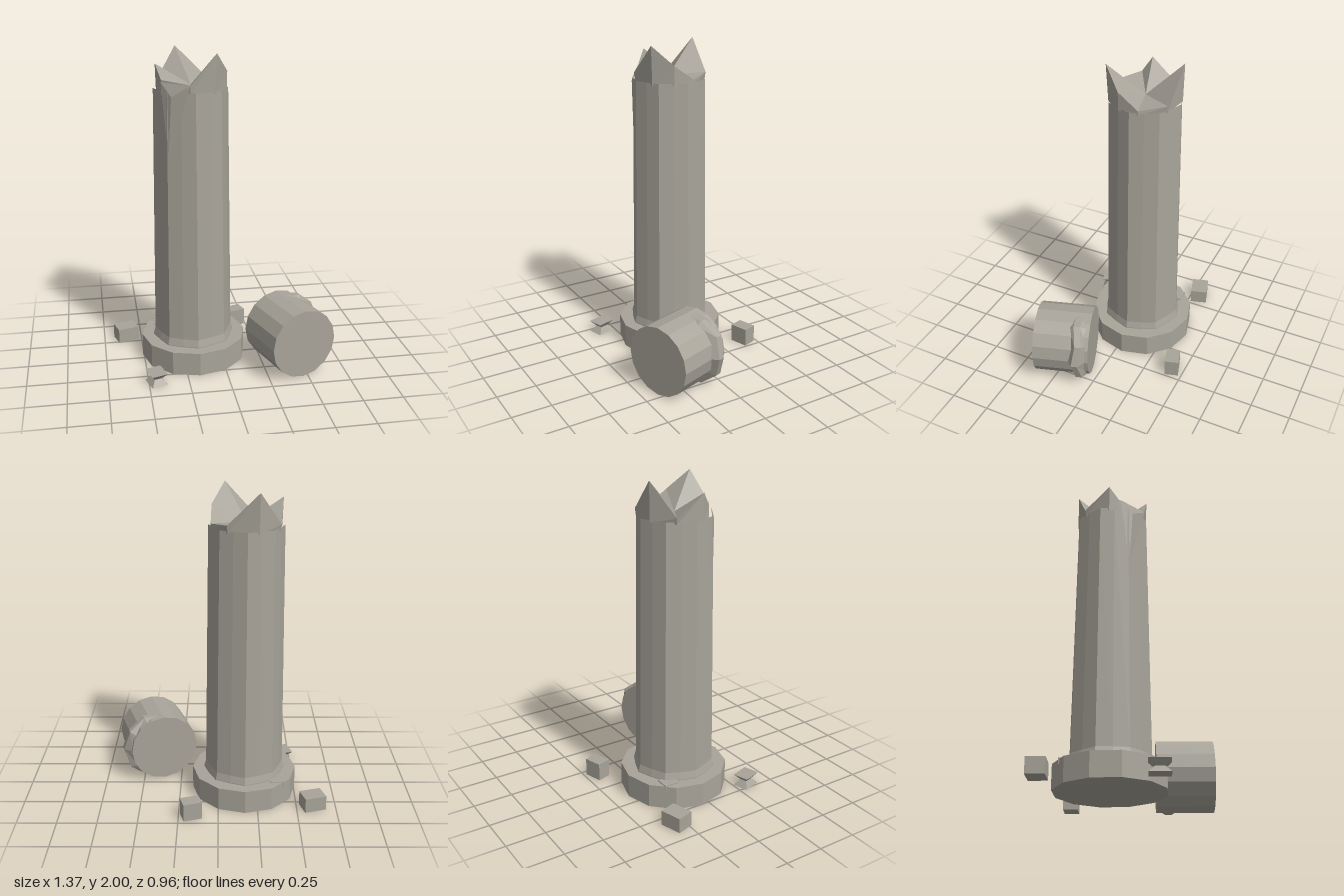
import * as THREE from 'three';

const stone = new THREE.MeshStandardMaterial({ color: 0xa8a49a, flatShading: true });
stone.name = 'weathered stone';

function part(name, geometry, x = 0, y = 0, z = 0, turn = 0) {
  const mesh = new THREE.Mesh(geometry, stone);
  mesh.name = name;
  mesh.position.set(x, y, z);
  mesh.rotation.y = turn;
  return mesh;
}

// triangles: list of corner triples, each corner [x, y, z]
function facets(triangles) {
  const g = new THREE.BufferGeometry();
  g.setAttribute('position', new THREE.Float32BufferAttribute(triangles.flat(2), 3));
  g.computeVertexNormals();
  return g;
}

// Tapered shaft: eight sharp edges with gently bulged faces between them
function shaftGeometry() {
  const profile = [[0.262, 0.14], [0.262, 0.155], [0.25, 0.2], [0.23, 1.775]].map(p => new THREE.Vector2(...p));
  const g = new THREE.LatheGeometry(profile, 16);
  const pos = g.attributes.position;
  for (let i = 0; i < pos.count; i++) {
    const k = Math.floor(i / profile.length) % 2 ? 0.945 : 1;
    pos.setX(i, pos.getX(i) * k);
    pos.setZ(i, pos.getZ(i) * k);
  }
  g.computeVertexNormals();
  return g;
}

// Jagged broken top: a fan inside and a wall outside a rim of peaks and dips
function crownGeometry() {
  const rim = [
    [-0.07, 2.0, -0.215], [0.12, 1.81, -0.195], [0.215, 1.79, -0.05], [0.21, 1.88, 0.08],
    [0.13, 2.0, 0.195], [-0.03, 1.82, 0.227], [-0.19, 1.84, 0.11], [-0.22, 1.93, 0.055], [-0.2, 1.8, -0.115],
  ];
  const centre = [0, 1.79, 0];
  const low = ([x, , z]) => {
    const k = 0.222 / Math.hypot(x, z);
    return [x * k, 1.76, z * k];
  };
  const tris = [];
  rim.forEach((a, i) => {
    const b = rim[(i + 1) % rim.length];
    tris.push([centre, b, a], [low(b), low(a), a], [low(b), a, b]);
  });
  return facets(tris);
}

// Splintered lip wrapping one side of the fallen drum
function lipGeometry() {
  const n = 6, rows = [];
  for (let i = 0; i <= n; i++) {
    const t = (i / n) * Math.PI, s = Math.sin(t);
    const jag = i % 2 ? 0.012 : -0.008;
    const section = [[0.215, -0.165], [0.22 + 0.045 * s, -0.13 + jag], [0.22 + 0.045 * s, -0.09 + jag], [0.215, -0.06 + jag]];
    rows.push(section.map(([r, z]) => [r * s, r * Math.cos(t), z]));
  }
  const tris = [];
  for (let i = 0; i < n; i++) {
    for (let j = 0; j < 3; j++) {
      const a = rows[i][j], b = rows[i][j + 1], c = rows[i + 1][j], d = rows[i + 1][j + 1];
      tris.push([a, b, c], [b, d, c]);
    }
  }
  return facets(tris);
}

// Waisted rubble lump
function pinchedBlock(w, h, d) {
  const g = new THREE.BoxGeometry(w, h, d, 1, 2, 1);
  const pos = g.attributes.position;
  for (let i = 0; i < pos.count; i++) {
    if (Math.abs(pos.getY(i)) < 0.001) {
      pos.setX(i, pos.getX(i) * 0.45);
      pos.setZ(i, pos.getZ(i) * 0.45);
    }
  }
  g.computeVertexNormals();
  return g;
}

export function createModel() {
  const model = new THREE.Group();
  model.name = 'brokenColumn';

  // Standing column
  const column = new THREE.Group();
  column.name = 'column';
  column.position.set(-0.17, 0, -0.045);
  column.add(part('base', new THREE.CylinderGeometry(0.337, 0.337, 0.15, 12), 0, 0.075, 0));
  column.add(part('shaft', shaftGeometry()));
  column.add(part('brokenTop', crownGeometry()));
  // Long splinter running down the front of the shaft
  const tip = [-0.16, 1.38, 0.168], left = [-0.195, 1.83, 0.125], right = [-0.03, 1.82, 0.228], mid = [-0.14, 1.75, 0.185];
  column.add(part('splinter', facets([[tip, mid, left], [tip, right, mid], [left, mid, right]])));
  model.add(column);

  // Fallen drum lying on its side
  const drum = new THREE.Group();
  drum.name = 'fallenDrum';
  drum.position.set(0.414, 0.225, 0.2375);
  drum.rotation.y = 0.312;
  drum.add(part('drumBody', new THREE.CylinderGeometry(0.223, 0.223, 0.357, 16).rotateX(Math.PI / 2)));
  drum.add(part('brokenLip', lipGeometry()));
  model.add(drum);

  // Rubble around the base
  model.add(part('rubbleBack', new THREE.BoxGeometry(0.12, 0.115, 0.09), 0.17, 0.0575, -0.42, 0.295));
  model.add(part('rubbleSide', new THREE.BoxGeometry(0.14, 0.095, 0.11), -0.602, 0.0475, -0.308, 0.288));
  model.add(part('rubbleFront', pinchedBlock(0.103, 0.075, 0.125), -0.452, 0.0375, 0.333, 0.3));
  model.add(part('baseChip', new THREE.BoxGeometry(0.085, 0.04, 0.1), -0.375, 0.137, -0.215));

  return model;
}
